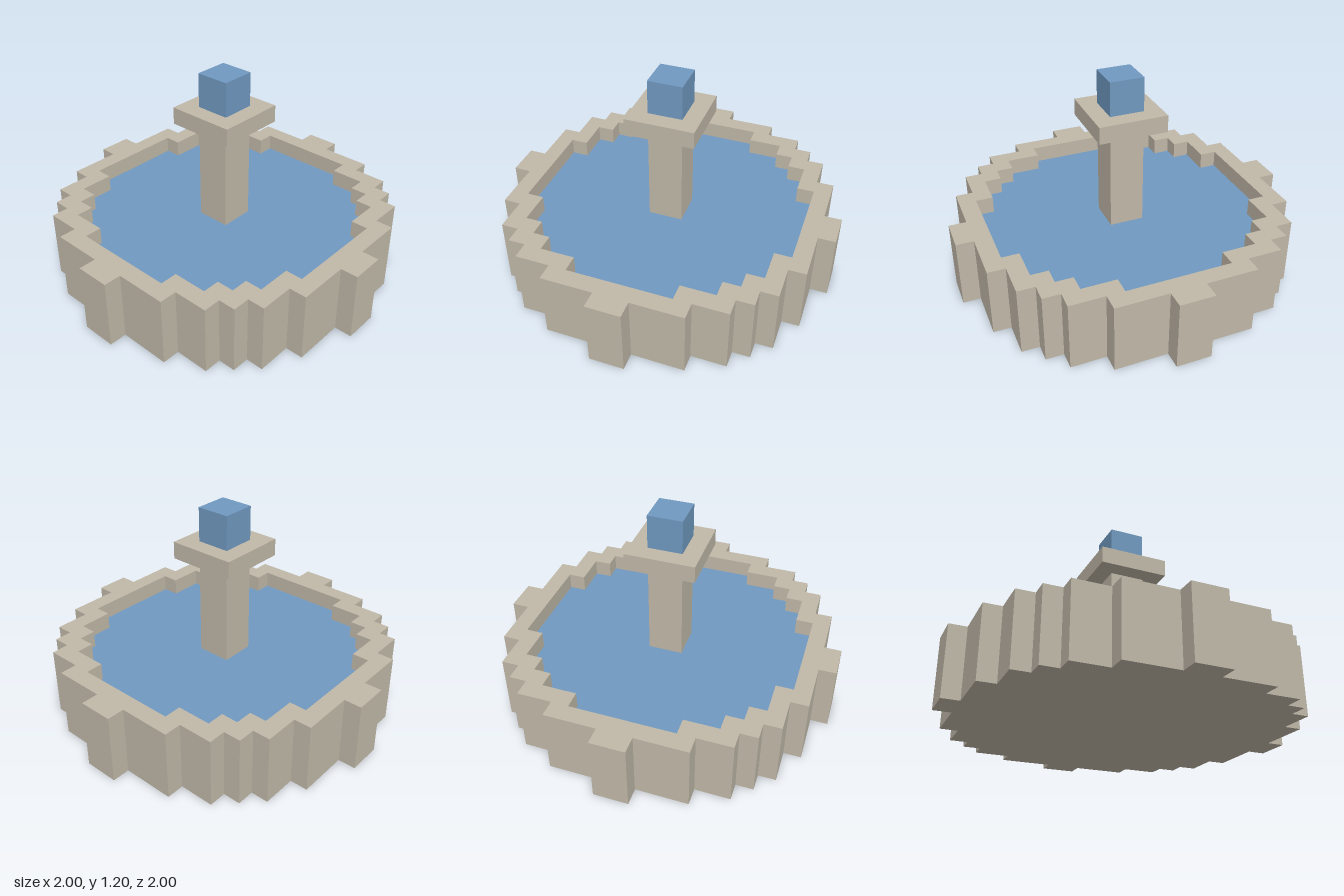
import * as THREE from 'three';

// Stepped outline: one quarter turned four times about the centre
function steppedRing(quarter) {
  const points = [];
  for (let k = 0; k < 4; k++) {
    for (let [x, y] of quarter) {
      for (let i = 0; i < k; i++) [x, y] = [-y, x];
      points.push(new THREE.Vector2(x, y));
    }
  }
  return points;
}

const OUTER = [[1, 0.1], [0.9, 0.1], [0.9, 0.4], [0.8, 0.4], [0.8, 0.6], [0.7, 0.6], [0.7, 0.7],
  [0.6, 0.7], [0.6, 0.8], [0.4, 0.8], [0.4, 0.9], [0.1, 0.9], [0.1, 1]];
const INNER = [[0.8, 0.3], [0.7, 0.3], [0.7, 0.5], [0.6, 0.5], [0.6, 0.6], [0.5, 0.6],
  [0.5, 0.7], [0.3, 0.7], [0.3, 0.8]];

export function createModel() {
  const model = new THREE.Group();
  model.name = 'fountain';

  const stone = new THREE.MeshStandardMaterial({ color: 0xc0b8a8 });
  stone.name = 'stone';
  const waterBlue = new THREE.MeshStandardMaterial({ color: 0x7099c0 });
  waterBlue.name = 'water blue';

  const add = (name, geometry, material) => {
    const mesh = new THREE.Mesh(geometry, material);
    mesh.name = name;
    model.add(mesh);
  };
  // Extrude a plan outline upward from y0 to y1
  const slab = (shape, y0, y1) =>
    new THREE.ExtrudeGeometry(shape, { depth: y1 - y0, bevelEnabled: false })
      .rotateX(-Math.PI / 2).translate(0, y0, 0);
  // Square block standing between y0 and y1
  const block = (width, y0, y1) =>
    new THREE.BoxGeometry(width, y1 - y0, width).translate(0, (y0 + y1) / 2, 0);

  // Basin: stepped wall, floor and pool
  const wall = new THREE.Shape(steppedRing(OUTER));
  wall.holes.push(new THREE.Path(steppedRing(INNER)));
  const pool = new THREE.Shape(steppedRing(INNER));
  add('basinWall', slab(wall, 0, 0.4), stone);
  add('basinFloor', slab(pool, 0, 0.2), stone);
  add('poolWater', slab(pool, 0.2, 0.3), waterBlue);

  // Central column with its cap and the water on top
  add('column', block(0.2, 0.2, 0.9), stone);
  add('columnCap', block(0.4, 0.9, 1), stone);
  add('spoutWater', block(0.2, 1, 1.2), waterBlue);

  return model;
}
